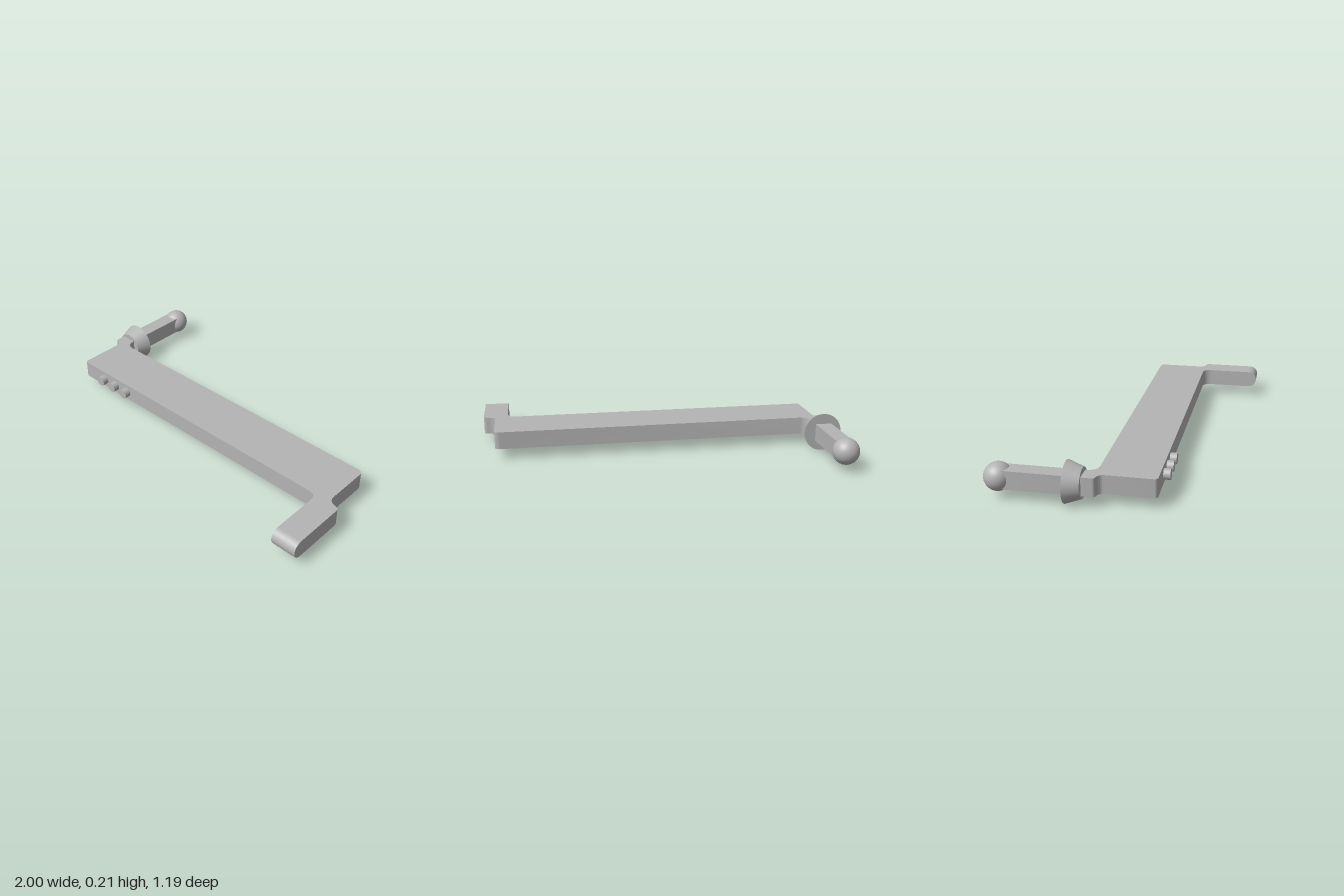
import * as THREE from 'three';
import { toCreasedNormals } from 'three/addons/utils/BufferGeometryUtils.js';

const MID = 0.11;   // height of the centre line
const THICK = 0.096; // plate thickness

export function createModel() {
  const model = new THREE.Group();
  const grey = new THREE.MeshStandardMaterial({ color: 0xb4b4b4 });
  grey.name = 'plain grey';

  const add = (name, geometry, x = 0, y = MID, z = 0) => {
    const mesh = new THREE.Mesh(geometry, grey);
    mesh.name = name;
    mesh.position.set(x, y, z);
    model.add(mesh);
    return mesh;
  };

  // Flat crank plate with its two offset arms, outlined in plan (x, z)
  const s = new THREE.Shape();
  const line = (x, z) => s.lineTo(x, -z);
  const curve = (cx, cz, x, z) => s.quadraticCurveTo(cx, -cz, x, -z);
  s.moveTo(-0.895, -0.005);
  line(-0.895, 0.23);
  curve(-0.895, 0.25, -0.875, 0.25);
  line(0.81, 0.25);
  curve(0.86, 0.25, 0.86, 0.305);
  line(0.86, 0.545);
  line(0.997, 0.545);
  line(0.997, 0.275);
  curve(0.997, 0.255, 0.975, 0.252);
  curve(0.93, 0.245, 0.93, 0.205);
  line(0.93, -0.015);
  curve(0.93, -0.045, 0.9, -0.045);
  line(-0.8, -0.045);
  curve(-0.852, -0.05, -0.852, -0.105);
  line(-0.852, -0.525);
  line(-0.942, -0.525);
  line(-0.942, -0.055);
  curve(-0.942, -0.038, -0.925, -0.036);
  curve(-0.897, -0.03, -0.895, -0.005);
  const plate = new THREE.ExtrudeGeometry(s, { depth: THICK, bevelEnabled: false, curveSegments: 10 });
  plate.rotateX(-Math.PI / 2);
  add('crankPlate', toCreasedNormals(plate, 0.6), 0, MID - THICK / 2, 0);

  // Half-round end of the front arm
  const tip = new THREE.CylinderGeometry(THICK / 2, THICK / 2, 0.137, 24, 1, false, 0, Math.PI);
  tip.rotateZ(Math.PI / 2);
  tip.rotateY(0);
  // the half cylinder bulges along one side; turn it to face +z
  tip.computeBoundingBox();
  const b = tip.boundingBox;
  if (b.max.z < THICK / 4) tip.rotateX(Math.PI);
  else if (b.min.z < -THICK / 4) tip.rotateX(b.max.y > THICK / 4 ? Math.PI / 2 : -Math.PI / 2);
  add('armTip', tip, 0.9285, MID, 0.545);

  // Flared collar and ball on the rear peg
  add('collar', new THREE.CylinderGeometry(0.077, 0.106, 0.08, 48).rotateX(Math.PI / 2), -0.894, MID, -0.145);
  add('ball', new THREE.SphereGeometry(0.072, 40, 24), -0.897, MID, -0.522);

  // Row of round studs on the front edge
  for (const x of [-0.72, -0.622, -0.524]) {
    add('stud', new THREE.CylinderGeometry(0.028, 0.028, 0.05, 24).rotateX(Math.PI / 2), x, MID, 0.26);
  }
  return model;
}
